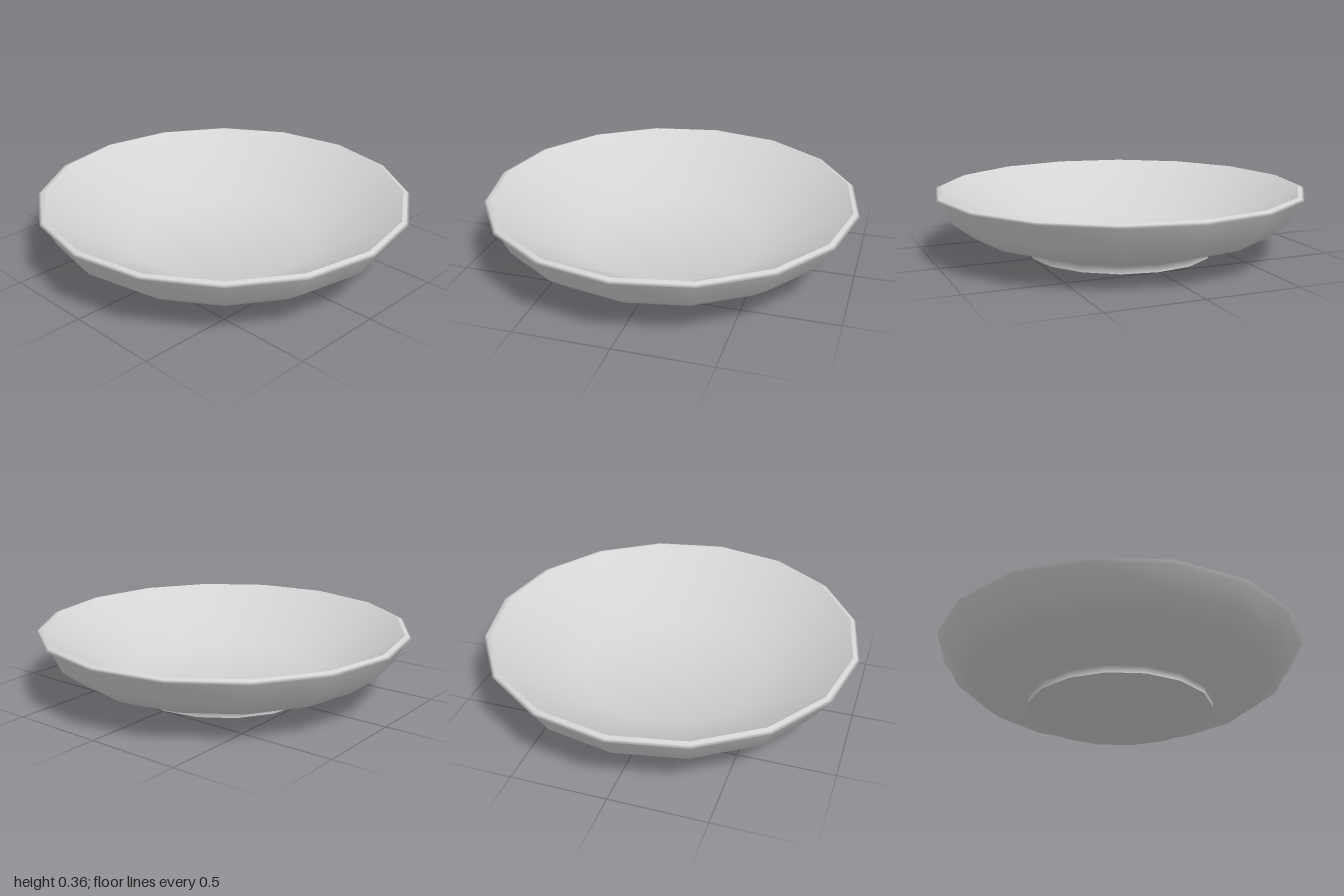
import * as THREE from 'three';

const SIDES = 16;

// Revolve a [radius, height] profile into a faceted round part
function revolve(name, profile, material) {
  const points = profile.map(([r, y]) => new THREE.Vector2(r, y));
  const mesh = new THREE.Mesh(new THREE.LatheGeometry(points, SIDES), material);
  mesh.name = name;
  return mesh;
}

export function createModel() {
  const group = new THREE.Group();
  group.name = 'dish';
  const glaze = new THREE.MeshStandardMaterial({ color: 0xd4d4d4 });
  glaze.name = 'pale grey glaze';

  // Flat underside of the foot
  group.add(revolve('base', [[0, 0], [0.5, 0]], glaze));

  // Foot, flared outer wall and rolled lip
  group.add(revolve('outerWall', [
    [0.5, 0], [0.5, 0.04], [0.805, 0.135], [0.92, 0.22],
    [0.975, 0.333], [1, 0.345], [0.985, 0.354], [0.965, 0.36],
  ], glaze));

  // Sloping inside wall and level floor, shaded as one soft hollow
  group.add(revolve('innerBowl', [[0.965, 0.36], [0.5, 0.09], [0, 0.09]], glaze));

  return group;
}
